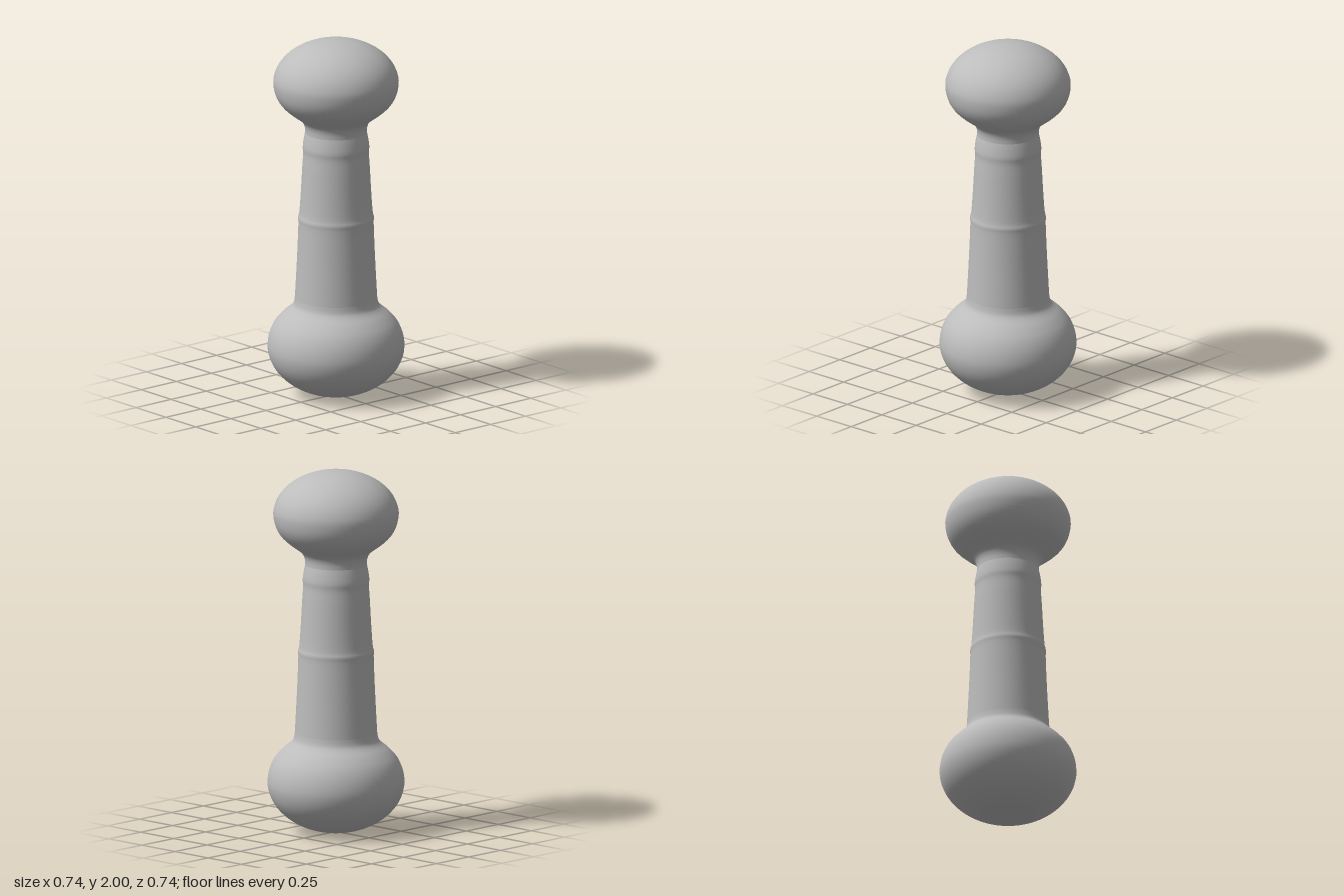
import * as THREE from 'three';

const grey = new THREE.MeshStandardMaterial({ color: 0xbcbcbc });
grey.name = 'plain grey';

// Smooth turned part from [radius, height] points, listed bottom to top
function turned(name, points, steps) {
  const curve = new THREE.SplineCurve(points.map(([r, y]) => new THREE.Vector2(r, y)));
  const profile = curve.getPoints(steps);
  profile.forEach((p) => { p.x = Math.max(p.x, 0); });
  const mesh = new THREE.Mesh(new THREE.LatheGeometry(profile, 48), grey);
  mesh.name = name;
  return mesh;
}

// Points on a quarter or partial ellipse, angles in degrees from the equator
function ellipse(radius, height, centreY, from, to, count) {
  return Array.from({ length: count + 1 }, (_, i) => {
    const a = THREE.MathUtils.degToRad(from + ((to - from) * i) / count);
    return [radius * Math.cos(a), centreY + height * Math.sin(a)];
  });
}

export function createModel() {
  const group = new THREE.Group();
  group.name = 'doubleKnobHandle';

  // Wide lower knob, flaring up into the shaft
  group.add(turned('lowerKnob', [
    ...ellipse(0.372, 0.28, 0.28, -90, 0, 8),
    [0.362, 0.345], [0.335, 0.405], [0.292, 0.455], [0.25, 0.49],
    [0.231, 0.515], [0.224, 0.55],
  ], 48));

  // Tapered shaft with a slight ridge halfway and a soft collar at the top
  group.add(turned('shaft', [
    [0.224, 0.55], [0.22, 0.62], [0.211, 0.8], [0.205, 0.96], [0.206, 1.0],
    [0.199, 1.035], [0.191, 1.15], [0.184, 1.28], [0.179, 1.36],
    [0.181, 1.4], [0.175, 1.445], [0.168, 1.48],
  ], 48));

  // Rounded upper knob on a narrow neck
  group.add(turned('upperKnob', [
    [0.168, 1.48], [0.171, 1.515], [0.19, 1.55], [0.25, 1.595],
    [0.298, 1.64], [0.329, 1.695],
    ...ellipse(0.341, 0.242, 1.758, 0, 90, 8),
  ], 48));

  return group;
}
